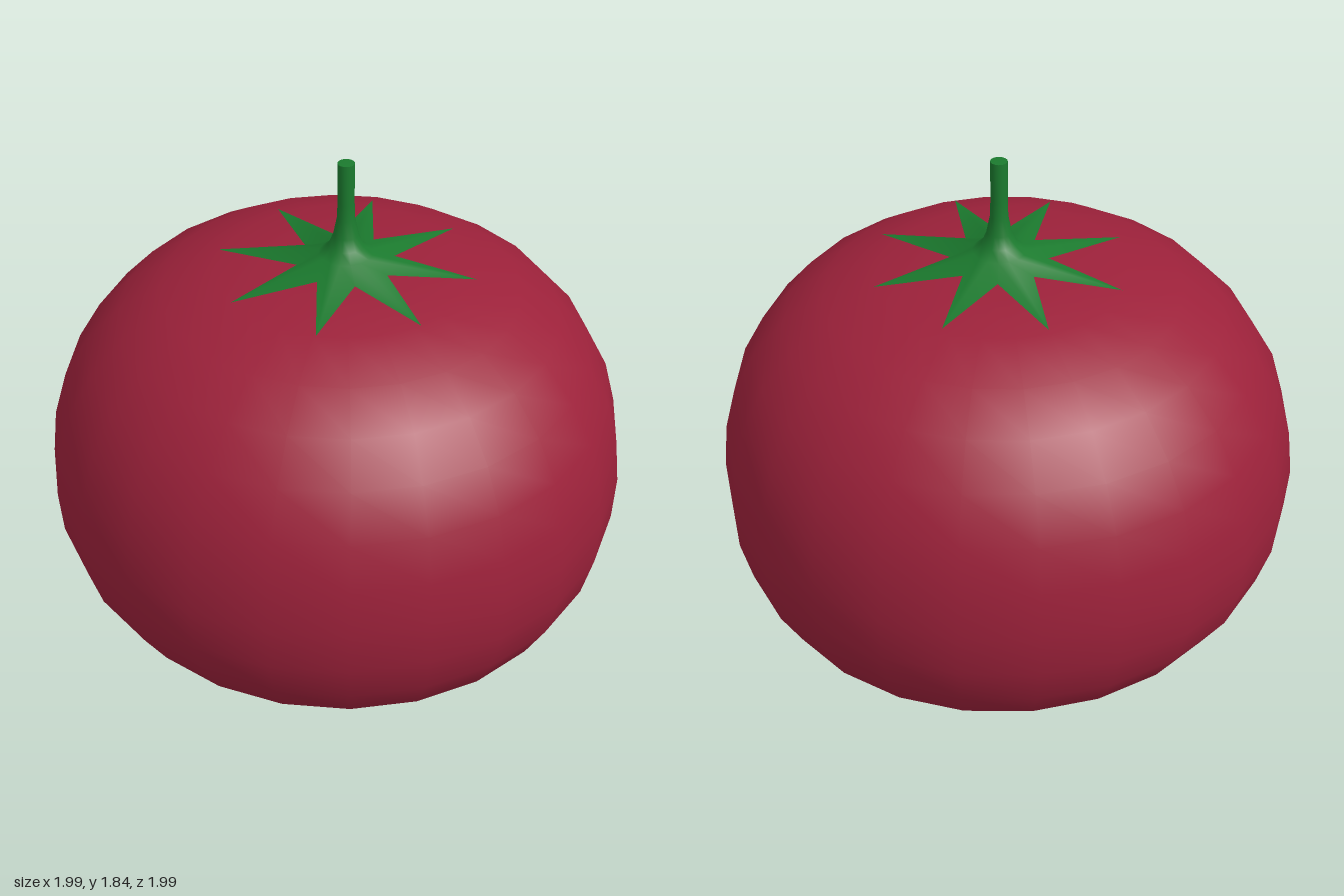
import * as THREE from 'three';
import { mergeVertices, toCreasedNormals } from 'three/addons/utils/BufferGeometryUtils.js';

const toPoints = (list) => list.map(([r, y]) => new THREE.Vector2(r, y));

// Apply a rule to every vertex of a geometry
function moveVertices(geometry, rule) {
  const pos = geometry.attributes.position;
  const v = new THREE.Vector3();
  for (let i = 0; i < pos.count; i++) {
    v.fromBufferAttribute(pos, i);
    rule(v);
    pos.setXYZ(i, v.x, v.y, v.z);
  }
  return geometry;
}

// Squat fruit: a lathe, slightly lopsided towards the bottom
function makeFruit() {
  const profile = toPoints([
    [0, 0.01], [0.22, 0.01], [0.42, 0.033], [0.6, 0.08], [0.745, 0.16], [0.865, 0.27],
    [0.945, 0.41], [0.985, 0.56], [0.993, 0.72], [0.974, 0.88], [0.93, 1.035], [0.85, 1.175],
    [0.74, 1.295], [0.6, 1.383], [0.42, 1.445], [0.22, 1.465], [0, 1.47],
  ]);
  const geometry = moveVertices(new THREE.LatheGeometry(profile, 24), (v) => {
    const d = (v.y - 0.72) / 0.75;
    v.y -= v.x * (d < 0 ? -0.03 * d : 0.012 * d);
    v.x += 0.022 * d * d;
    v.z += 0.015 * Math.min(0, d);
  });
  const fruit = new THREE.Mesh(geometry, new THREE.MeshStandardMaterial({ color: 0x9c213a }));
  fruit.name = 'fruit';
  return fruit;
}

// Stem flaring into an eight-pointed star of leaves
function makeStem() {
  const tipRadius = 0.435, valleyRadius = 0.163;
  const profile = toPoints([
    [0, 1.462], [tipRadius, 1.465], [0.09, 1.512], [0.058, 1.54], [0.042, 1.58],
    [0.03, 1.64], [0.028, 1.7], [0.028, 1.838], [0, 1.84],
  ]);
  const lathe = new THREE.LatheGeometry(profile, 16);
  // Pull every second point of the rim inwards to cut the leaves apart
  moveVertices(lathe, (v) => {
    const r = Math.hypot(v.x, v.z);
    if (r < 0.3) return;
    const step = Math.round(Math.atan2(v.x, v.z) / (Math.PI / 8));
    if (step % 2 !== 0) {
      v.x *= valleyRadius / r;
      v.z *= valleyRadius / r;
      v.y = 1.48;
    }
  });
  lathe.deleteAttribute('normal');
  lathe.deleteAttribute('uv');
  const geometry = toCreasedNormals(mergeVertices(lathe), 1.0);
  const stem = new THREE.Mesh(geometry, new THREE.MeshStandardMaterial({ color: 0x1b7a2e, side: THREE.DoubleSide }));
  stem.name = 'stemAndLeaves';
  stem.position.set(0.035, 0, 0.008);
  return stem;
}

export function createModel() {
  const model = new THREE.Group();
  model.name = 'tomato';
  model.add(makeFruit(), makeStem());
  return model;
}
